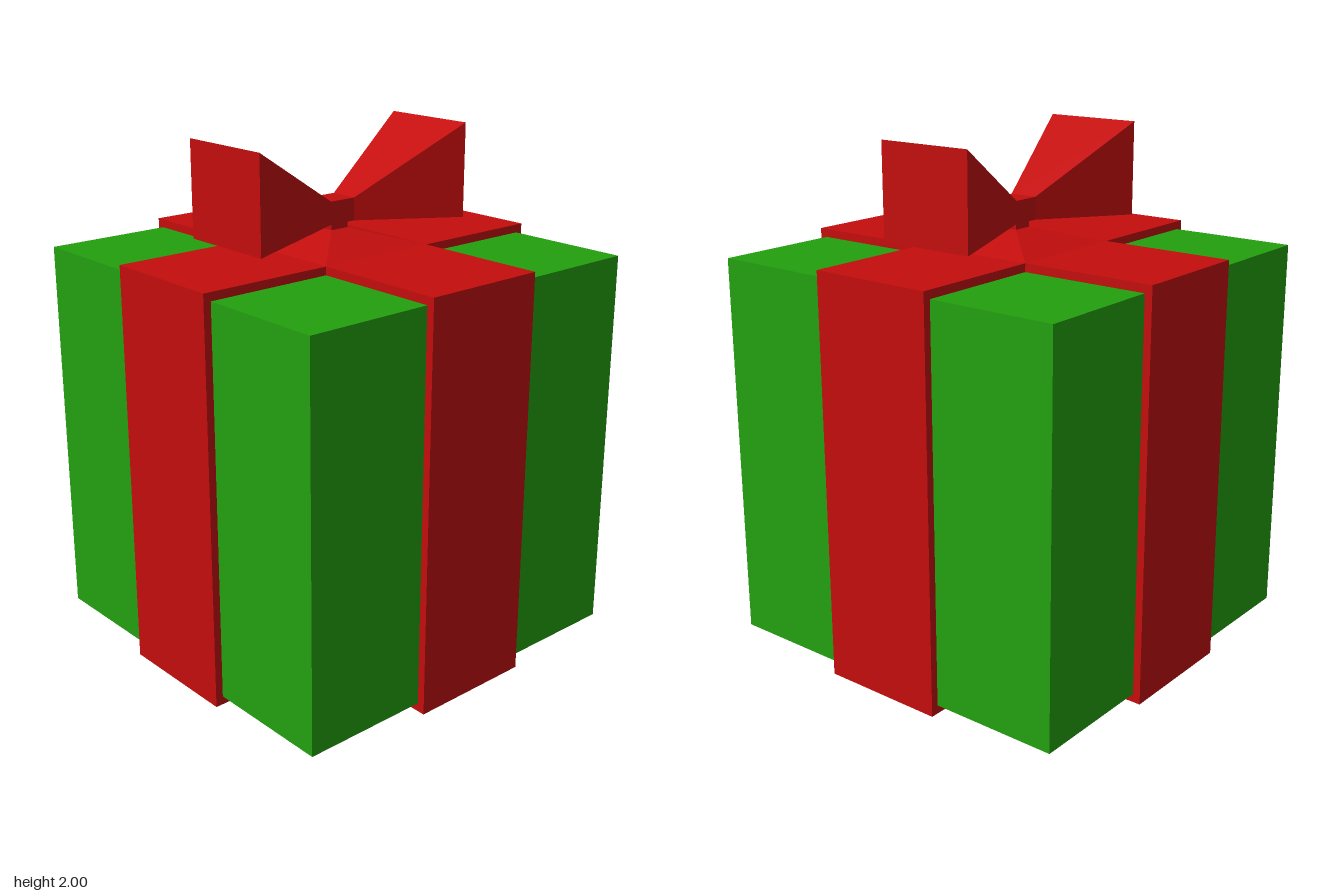
import * as THREE from 'three';

const red = new THREE.MeshStandardMaterial({ color: 0xc40d0d });
red.name = 'ribbon red';
const green = new THREE.MeshStandardMaterial({ color: 0x24a00f });
green.name = 'wrapping green';

// Hard-edged faces everywhere
function part(name, geometry, material) {
  const flat = geometry.index ? geometry.toNonIndexed() : geometry;
  flat.computeVertexNormals();
  const mesh = new THREE.Mesh(flat, material);
  mesh.name = name;
  return mesh;
}

// Square frustum standing between two heights, given half widths
function frustum(topHalf, bottomHalf, y0, y1) {
  return new THREE.CylinderGeometry(topHalf * Math.SQRT2, bottomHalf * Math.SQRT2, y1 - y0, 4)
    .rotateY(Math.PI / 4)
    .translate(0, (y0 + y1) / 2, 0);
}

// Plus-shaped prism: both ribbon bands in one solid
function crossGeometry(half, reach, height) {
  const points = [];
  for (let i = 0; i < 4; i++) {
    const corner = [[reach, -half], [reach, half], [half, half]];
    for (const [x, y] of corner) {
      points.push(new THREE.Vector2(x, y).rotateAround(new THREE.Vector2(), i * Math.PI / 2));
    }
  }
  return new THREE.ExtrudeGeometry(new THREE.Shape(points), { depth: height, bevelEnabled: false })
    .rotateX(-Math.PI / 2);
}

// Bow: a box in three lengths, pinched at the knot and flared at both ends
function bowGeometry() {
  const geometry = new THREE.BoxGeometry(2, 2, 3, 1, 1, 3);
  const p = geometry.attributes.position;
  const knot = { half: 0.057, low: 1.663, high: 1.75, z: 0.057 };
  const end = { half: 0.198, low: 1.635, high: 2, z: 0.5 };
  for (let i = 0; i < p.count; i++) {
    const z = p.getZ(i);
    const s = Math.abs(z) > 1 ? end : knot;
    p.setXYZ(i, Math.sign(p.getX(i)) * s.half, p.getY(i) > 0 ? s.high : s.low, Math.sign(z) * s.z);
  }
  return geometry;
}

export function createModel() {
  const model = new THREE.Group();
  model.name = 'giftBox';

  // Wrapped box
  const box = new THREE.BoxGeometry(1.514, 1.51, 1.514).translate(0, 0.788, 0);
  model.add(part('box', box, green));

  // Crossing ribbons, the gathered mound and its neck
  model.add(part('ribbon', crossGeometry(0.25, 0.787, 1.575), red));
  model.add(part('ribbonMound', frustum(0.04, 0.25, 1.575, 1.637), red));
  model.add(part('bowNeck', frustum(0.04, 0.04, 1.637, 1.67), red));

  // Bow on top
  model.add(part('bow', bowGeometry(), red));

  return model;
}
